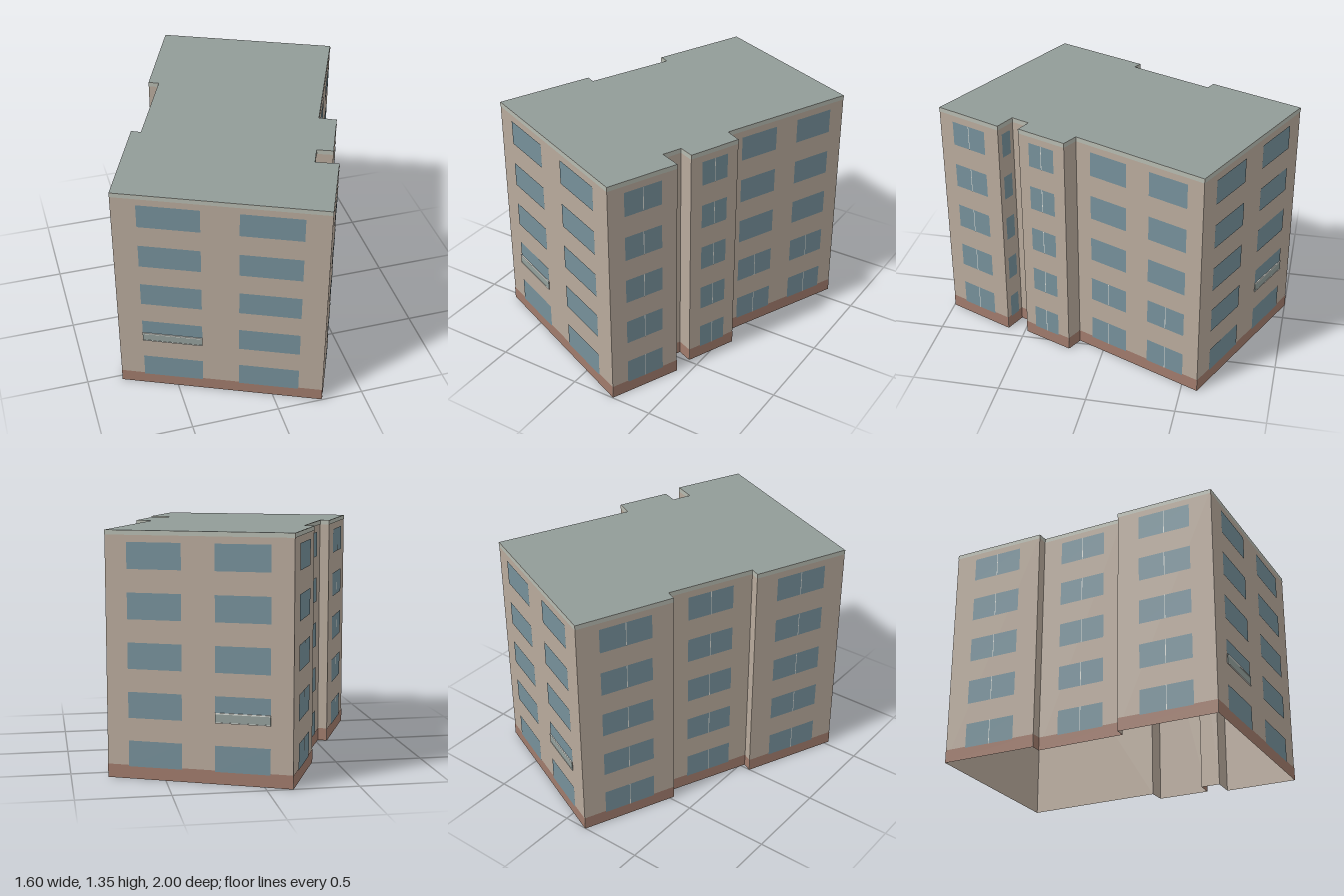
import * as THREE from 'three';

const HEIGHT = 1.345, PLINTH = 0.075, BAND = 0.025;
const FLOORS = 5, FLOOR_STEP = 0.268, SILL = 0.068, WINDOW_H = 0.143;

const paint = (color, side = THREE.FrontSide) => new THREE.MeshStandardMaterial({ color, side });

// Facades in order round the footprint: start corner [x, z], window columns
// as fractions of the wall, floors with a mullion, column holding a balcony.
const PAIR = [[0.118, 0.41], [0.588, 0.882]], ONE = [[0.23, 0.77]];
const FACADES = [
  { name: 'frontWall', at: [-0.8, 0.53], windows: PAIR, mullions: 0, balcony: 0 },
  { name: 'rightFrontWall', at: [0.26, 0.995], windows: ONE, mullions: 5 },
  { name: 'notchFrontWall', at: [0.43, 0.605], windows: [[0.22, 0.76]], mullions: 0 },
  { name: 'notchInnerWall', at: [0.31, 0.555] },
  { name: 'notchBackWall', at: [0.355, 0.45] },
  { name: 'rightBayWall', at: [0.44, 0.485], windows: ONE, mullions: 5 },
  { name: 'rightBayReturn', at: [0.56, 0.2] },
  { name: 'rightBackWall', at: [0.47, 0.155], windows: PAIR, mullions: 2 },
  { name: 'backWall', at: [0.8, -0.59], windows: PAIR, mullions: 0, balcony: 1 },
  { name: 'leftBackWall', at: [-0.14, -1], windows: ONE, mullions: 5 },
  { name: 'leftBackReturn', at: [-0.365, -0.475] },
  { name: 'leftMiddleWall', at: [-0.31, -0.45], windows: ONE, mullions: 5 },
  { name: 'leftFrontReturn', at: [-0.52, 0.025] },
  { name: 'leftFrontWall', at: [-0.57, 0], windows: ONE, mullions: 5 },
];

export function createModel() {
  const building = new THREE.Group();
  building.name = 'apartmentBlock';

  const wallMat = paint(0xb8aa9c, THREE.DoubleSide);
  const plinthMat = paint(0xa07b6c);
  const bandMat = paint(0xb6bab0);
  const roofMat = paint(0x929c98, THREE.DoubleSide);
  const glassMat = paint(0x76909a);
  const frameMat = paint(0xd8dad4);
  const panelMat = paint(0x94a09c);

  // Upright rectangle on a facade, from (x0, y0) to (x1, y1), z in front of it
  const panel = (parent, name, x0, x1, y0, y1, z, material) => {
    const mesh = new THREE.Mesh(new THREE.PlaneGeometry(x1 - x0, y1 - y0), material);
    mesh.position.set((x0 + x1) / 2, (y0 + y1) / 2, z);
    mesh.name = name;
    parent.add(mesh);
  };
  const block = (parent, name, x0, x1, y0, y1, depth, material) => {
    const mesh = new THREE.Mesh(new THREE.BoxGeometry(x1 - x0, y1 - y0, depth), material);
    mesh.position.set((x0 + x1) / 2, (y0 + y1) / 2, 0.004 + depth / 2);
    mesh.name = name;
    parent.add(mesh);
  };

  FACADES.forEach((f, i) => {
    const [ax, az] = f.at, [bx, bz] = FACADES[(i + 1) % FACADES.length].at;
    const length = Math.hypot(bx - ax, bz - az);

    // Local frame: x along the wall, z outwards
    const facade = new THREE.Group();
    facade.name = f.name;
    facade.position.set(ax, 0, az);
    facade.rotation.y = Math.atan2(az - bz, bx - ax);
    building.add(facade);

    panel(facade, 'wall', 0, length, 0, HEIGHT, 0, wallMat);
    panel(facade, 'plinth', 0, length, 0, PLINTH, 0.002, plinthMat);
    panel(facade, 'roofBand', 0, length, HEIGHT - BAND, HEIGHT, 0.002, bandMat);

    (f.windows ?? []).forEach(([u0, u1], column) => {
      const x0 = u0 * length, x1 = u1 * length, mid = (x0 + x1) / 2;
      for (let floor = 0; floor < FLOORS; floor++) {
        const y = SILL + floor * FLOOR_STEP;
        panel(facade, 'window', x0, x1, y, y + WINDOW_H, 0.004, glassMat);
        if (floor < f.mullions) panel(facade, 'mullion', mid - 0.002, mid + 0.002, y, y + WINDOW_H, 0.0055, frameMat);
      }
      // Shallow balcony front with a pale rail, one storey up
      if (f.balcony === column) {
        const y = SILL + FLOOR_STEP;
        block(facade, 'balconyPanel', x0, x1, y, y + 0.047, 0.004, panelMat);
        block(facade, 'balconyRail', x0, x1, y + 0.047, y + 0.054, 0.006, frameMat);
        block(facade, 'balconyLedge', x0, x1, y - 0.002, y + 0.003, 0.006, frameMat);
      }
    });
  });

  // Flat roof over the footprint
  const outline = new THREE.Shape(FACADES.map(({ at: [x, z] }) => new THREE.Vector2(x, -z)));
  const roof = new THREE.Mesh(new THREE.ShapeGeometry(outline).rotateX(-Math.PI / 2), roofMat);
  roof.position.y = HEIGHT;
  roof.name = 'roof';
  building.add(roof);

  return building;
}
